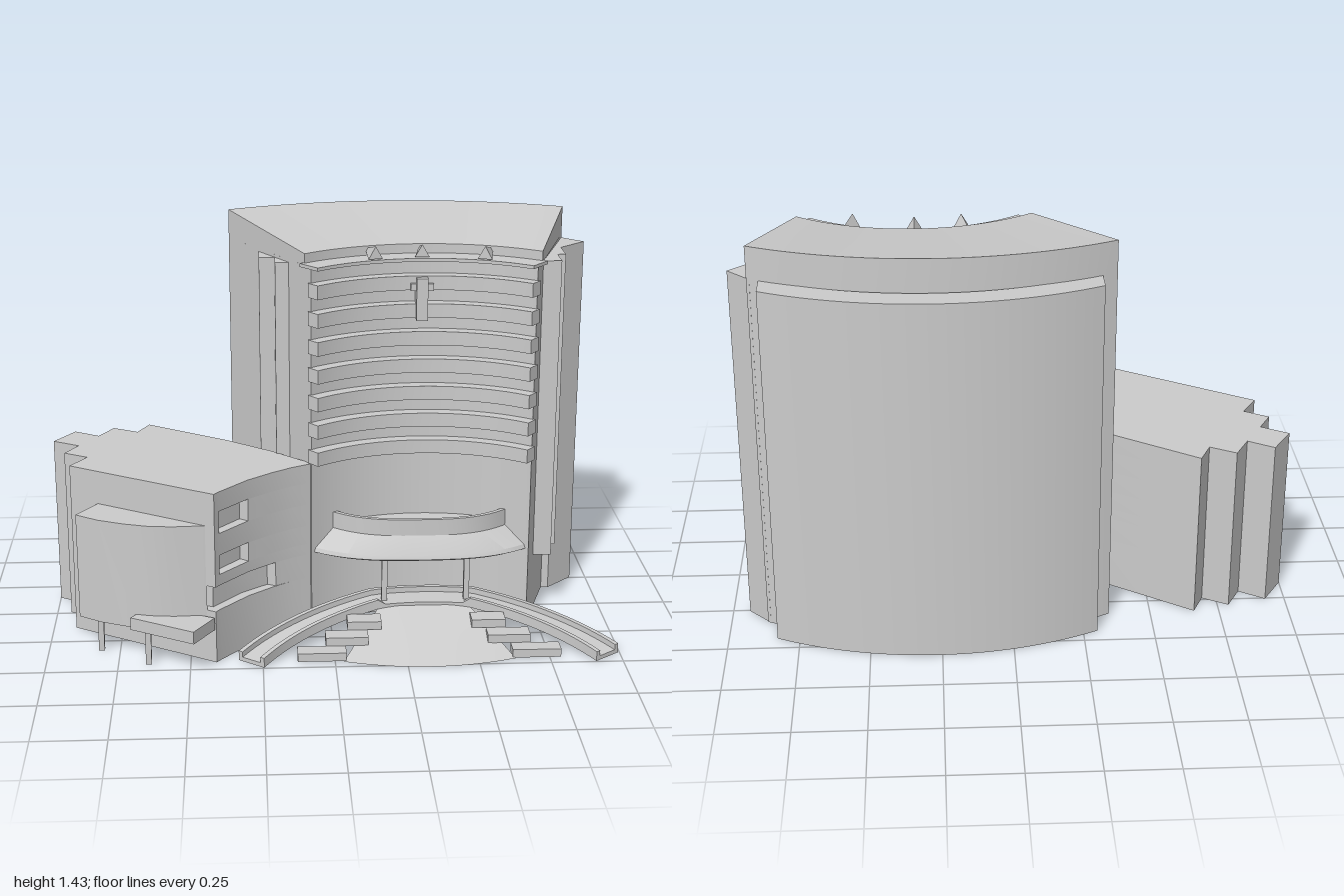
import * as THREE from 'three';
import { toCreasedNormals } from 'three/addons/utils/BufferGeometryUtils.js';

const material = new THREE.MeshStandardMaterial({ color: 0xcccccc, side: THREE.DoubleSide });

// Centre of the concave tower front, shared by wall, bands and ledge
const CX = 0.32, CZ = 0.65, WALL_R = 0.63;
const wallZ = x => CZ - Math.sqrt(WALL_R ** 2 - (x - CX) ** 2);
const lerp = THREE.MathUtils.lerp;

// Point on a circle; angle 0 points to the back
const polar = (cx, cz, r, a) => [cx + r * Math.sin(a), cz - r * Math.cos(a)];
function arc(cx, cz, r, a0, a1, n = 28) {
  return Array.from({ length: n + 1 }, (_, i) => polar(cx, cz, r, lerp(a0, a1, i / n)));
}

export function createModel() {
  const model = new THREE.Group();

  function add(name, geometry, parent = model) {
    const mesh = new THREE.Mesh(toCreasedNormals(geometry, 0.4), material);
    mesh.name = name;
    parent.add(mesh);
    return mesh;
  }
  function group(name) {
    const g = new THREE.Group();
    g.name = name;
    model.add(g);
    return g;
  }

  // Upright prism over a plan of [x, z] points, optionally open underneath
  function prism(plan, y0, y1, open = false) {
    const shape = new THREE.Shape(plan.map(([x, z]) => new THREE.Vector2(x, -z)));
    const g = new THREE.ExtrudeGeometry(shape, { depth: y1 - y0, bevelEnabled: false });
    g.rotateX(-Math.PI / 2).translate(0, y0, 0);
    if (!open) return g;
    const p = g.attributes.position, kept = [];
    for (let i = 0; i < p.count; i += 3) {
      if (Math.max(p.getY(i), p.getY(i + 1), p.getY(i + 2)) < y0 + 1e-4) continue;
      for (let k = i; k < i + 3; k++) kept.push(p.getX(k), p.getY(k), p.getZ(k));
    }
    const walls = new THREE.BufferGeometry();
    walls.setAttribute('position', new THREE.Float32BufferAttribute(kept, 3));
    return walls;
  }

  // Cross-section [s, y] swept over t = 0..1 and placed by a rule
  function bend(section, steps, place) {
    const shape = new THREE.Shape(section.map(([s, y]) => new THREE.Vector2(s, y)));
    const g = new THREE.ExtrudeGeometry(shape, { depth: 1, steps, bevelEnabled: false });
    const p = g.attributes.position;
    for (let i = 0; i < p.count; i++) p.setXYZ(i, ...place(p.getX(i), p.getY(i), p.getZ(i)));
    return g;
  }
  function ring(r0, r1, y0, y1, a) {
    return bend([[r0, y0], [r1, y0], [r1, y1], [r0, y1]], 28, (r, y, t) => {
      const [x, z] = polar(CX, CZ, r, lerp(-a, a, t));
      return [x, y, z];
    });
  }

  // Open grid surface placed by a rule on u (0..1) and row index
  function sheet(cols, rows, place) {
    const g = new THREE.PlaneGeometry(1, 1, cols, rows);
    const p = g.attributes.position;
    for (let i = 0; i < p.count; i++) {
      p.setXYZ(i, ...place((i % (cols + 1)) / cols, Math.floor(i / (cols + 1))));
    }
    return g;
  }
  function box(name, x0, x1, y0, y1, z0, z1, parent) {
    const g = new THREE.BoxGeometry(x1 - x0, y1 - y0, z1 - z0);
    g.translate((x0 + x1) / 2, (y0 + y1) / 2, (z0 + z1) / 2);
    return add(name, g, parent);
  }

  // Tower body with concave front and convex back
  const tower = group('tower');
  add('towerBody', prism([
    ...arc(CX, CZ, WALL_R, -0.667, 0.667), ...arc(0.26, 0.93, 1.4, 0.451, -0.451),
  ], 0, 1.33, true), tower);
  add('backSlab', prism([
    ...arc(0.265, 0.72, 1.29, 0.453, -0.453), ...arc(0.265, 0.72, 1.2, -0.49, 0.49),
  ], 0, 1.32, true), tower);

  // Roof rising from the front edge to the back edge
  add('slopedRoof', bend([[0, 1.33], [1, 1.33], [1, 1.435], [0, 1.37]], 28, (s, y, t) => {
    const f = polar(CX, CZ, 0.67, lerp(-0.658, 0.658, t));
    const b = polar(0.26, 0.93, 1.4, lerp(-0.451, 0.451, t));
    return [lerp(f[0], b[0], s), y, lerp(f[1], b[1], s)];
  }), tower);
  add('roofLedge', ring(0.585, 0.68, 1.325, 1.337, 0.68), tower);

  // Floor bands across the concave front
  for (let i = 0; i < 7; i++) {
    const y = 0.625 + i * 0.1;
    add('floorBand', ring(0.585, 0.636, y, y + 0.05, 0.68), tower);
  }

  // Stepped blocks on the tower sides
  box('sideBlock', 0.68, 0.81, 0.22, 1.32, -0.05, 0.05, tower);
  box('sideBlock', 0.7, 0.84, 0.22, 1.32, -0.16, -0.05, tower);
  box('sideBlock', -0.19, -0.05, 0.22, 1.32, -0.05, 0.03, tower);
  box('sideBlock', -0.245, -0.05, 0.22, 1.32, -0.16, -0.05, tower);
  add('cornerBlock', prism(
    [[0.8, -0.16], [0.84, -0.16], [0.94, -0.255], [0.86, -0.335], [0.8, -0.3]], 0, 1.32), tower);

  // Roof fins with tips towards the back, and the upright front panel
  for (const a of [-0.28, 0, 0.37]) {
    const fin = new THREE.ConeGeometry(0.03, 0.11, 3);
    fin.rotateX(-Math.PI / 2).translate(0, 1.355, -0.645).rotateY(-a).translate(CX, 0, CZ);
    add('roofFin', fin, tower);
  }
  box('frontPanel', 0.3, 0.34, 1.12, 1.27, 0.02, 0.09, tower);
  box('panelBracket', 0.28, 0.36, 1.225, 1.25, 0.02, 0.08, tower);

  // Low wing in layers, some with windows cut into the curved wall
  const wing = group('wing');
  const backPlan = [
    [-0.065, 0.145], [-0.21, 0], [-0.37, -0.13], [-0.66, -0.325], [-0.7, -0.24], [-0.79, -0.29],
    [-0.84, -0.2], [-0.93, -0.255], [-1, -0.145], [-0.905, -0.09], [-0.95, -0.01],
    [-0.865, 0.04], [-0.92, 0.13],
  ];
  const wall = {
    plain: [[-0.41, 0.445], [-0.395, 0.423], [-0.295, 0.307], [-0.21, 0.235], [-0.14, 0.185]],
    window: [[-0.41, 0.445], [-0.395, 0.423], [-0.42, 0.4], [-0.325, 0.285], [-0.295, 0.307],
      [-0.21, 0.235], [-0.14, 0.185]],
    longWindow: [[-0.47, 0.408], [-0.455, 0.385], [-0.42, 0.4], [-0.325, 0.285], [-0.23, 0.21],
      [-0.2, 0.225], [-0.14, 0.185]],
  };
  const layers = [
    [0, 0.19, 'plain'], [0.19, 0.28, 'longWindow'], [0.28, 0.32, 'plain'], [0.32, 0.39, 'window'],
    [0.39, 0.47, 'plain'], [0.47, 0.55, 'window'], [0.55, 0.62, 'plain'],
  ];
  for (const [y0, y1, kind] of layers) {
    add('wingLayer', prism([...backPlan, ...wall[kind]], y0, y1), wing);
  }

  // Raised annex with curved front, entrance slab and posts
  add('annex', prism([
    [-0.82, 0.19], [-0.89, 0.3], [-0.81, 0.355], [-0.72, 0.395], [-0.64, 0.42], [-0.555, 0.43],
    [-0.44, 0.425],
  ], 0.12, 0.5), wing);
  add('entranceSlab', prism(
    [[-0.64, 0.34], [-0.705, 0.435], [-0.485, 0.565], [-0.415, 0.45]], 0.125, 0.17), wing);
  for (const [x, z] of [[-0.815, 0.32], [-0.645, 0.44]]) {
    box('annexPost', x - 0.01, x + 0.01, 0, 0.13, z - 0.01, z + 0.01, wing);
  }

  // Entrance canopy: rows of [half width, middle z, y]; null z follows the wall
  const entrance = group('entrance');
  const rows = [
    [0.37, null, 0.28], [0.37, 0.235, 0.28], [0.38, 0.24, 0.285], [0.375, 0.235, 0.3],
    [0.31, 0.195, 0.36], [0.31, 0.195, 0.42], [0.295, 0.18, 0.42], [0.295, 0.18, 0.38],
    [0.295, null, 0.38],
  ];
  add('canopy', sheet(20, rows.length - 1, (u, row) => {
    const [half, mid, y] = rows[row];
    const k = u * 2 - 1, x = CX + half * k, end = wallZ(CX + half);
    return [x, y, mid === null ? wallZ(x) : end + (mid - end) * (1 - Math.abs(k) ** 3)];
  }), entrance);
  for (const x of [0.19, 0.485]) box('canopyPost', x - 0.01, x + 0.01, 0.09, 0.29, 0.17, 0.19, entrance);

  // Curved driveway with low parapets, rising to a flat landing
  const section = [
    [0.725, 0], [0.835, 0], [0.835, 0.035], [0.818, 0.035], [0.818, 0.015], [0.742, 0.015],
    [0.742, 0.035], [0.725, 0.035],
  ];
  add('driveway', bend(section, 48, (r, y, t) => {
    const a = lerp(-0.92, 0.92, t), flat = Math.abs(a) < 0.22;
    const lift = 0.095 * Math.min(1, (0.92 - Math.abs(a)) / 0.7);
    const [x, z] = polar(0.33, 0.935, r, a);
    return [x, (flat && r < 0.78 ? Math.min(y, 0.015) : y) + lift, z];
  }), entrance);

  // Sloping forecourt fanning out from the landing
  add('forecourt', sheet(20, 6, (u, row) => {
    const k = u * 2 - 1, v = row / 6;
    const front = 0.46 + 0.055 * (1 - k * k);
    return [0.33 + k * lerp(0.16, 0.3, v), 0.1 * (1 - v), lerp(0.215, front, v)];
  }), entrance);

  // Steps on both sides of the forecourt: [outer, inner, z0, z1, top]
  const steps = [
    [0.46, 0.29, 0.395, 0.455, 0.03], [0.36, 0.21, 0.33, 0.395, 0.06], [0.28, 0.16, 0.26, 0.33, 0.09],
  ];
  for (const side of [-1, 1]) {
    for (const [outer, inner, z0, z1, top] of steps) {
      const xs = [0.33 + side * outer, 0.33 + side * inner].sort((a, b) => a - b);
      box('step', xs[0], xs[1], top - 0.03, top, z0, z1, entrance);
    }
  }
  return model;
}
